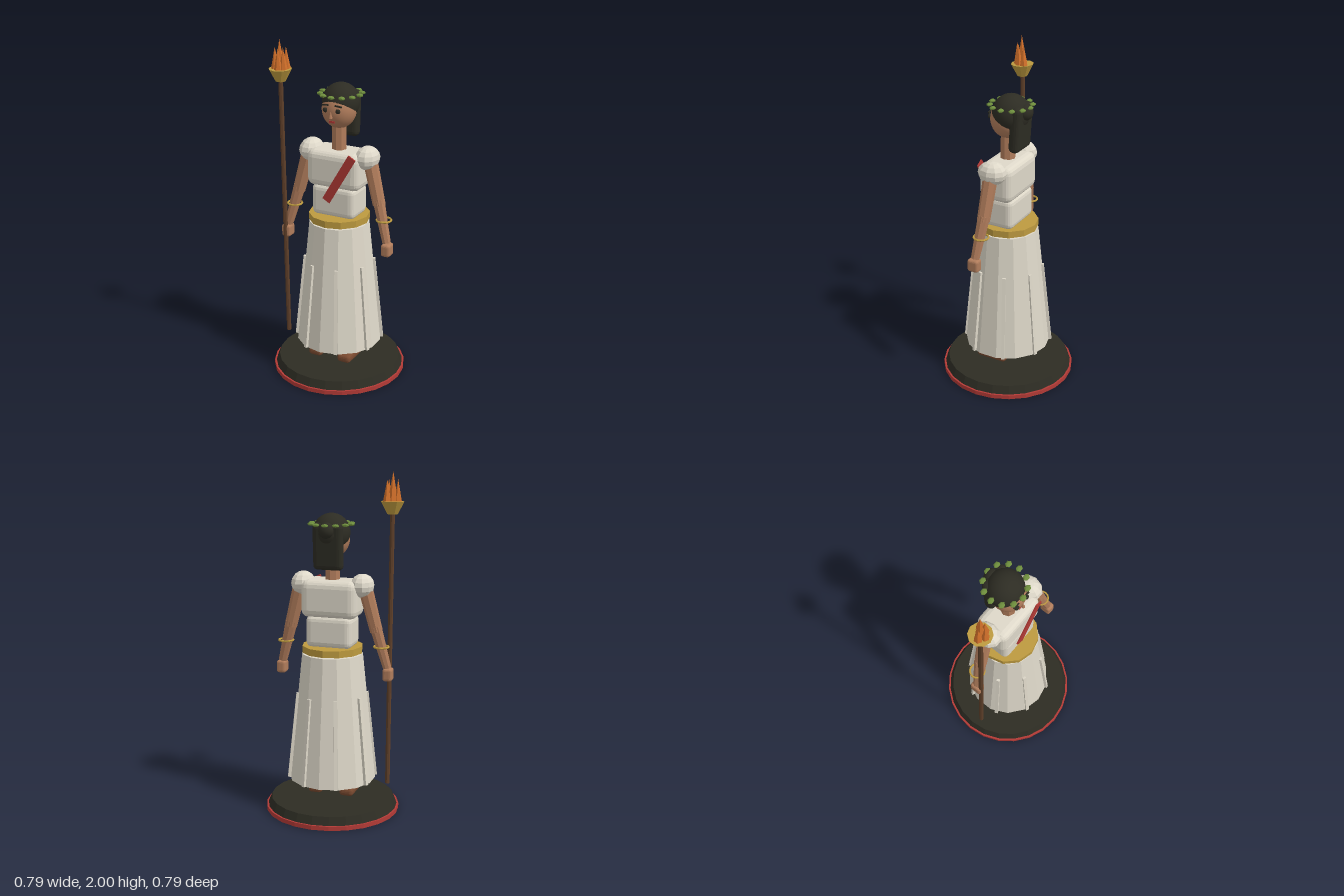
import * as THREE from 'three';
import { RoundedBoxGeometry } from 'three/addons/geometries/RoundedBoxGeometry.js';

const colours = {
  cloth: 0xded8c9, skin: 0xb07c5b, dark: 0x2d2c23, red: 0xb23a36, gold: 0xbd9a3f,
  leaf: 0x6d8c3c, wood: 0x5e3f29, sandal: 0x7a4a30, flame: 0xd2702a,
};

export function createModel() {
  const model = new THREE.Group();
  model.name = 'torchBearer';
  const mats = {};
  for (const [name, color] of Object.entries(colours)) {
    mats[name] = new THREE.MeshStandardMaterial({ color });
    mats[name].name = name;
  }

  // Gives each face its own normal for the faceted look
  const flat = (geo) => {
    const g = geo.index ? geo.toNonIndexed() : geo;
    g.computeVertexNormals();
    return g;
  };
  const add = (name, geo, mat, x, y, z, parent = model) => {
    const mesh = new THREE.Mesh(geo, mats[mat]);
    mesh.name = name;
    mesh.position.set(x, y, z);
    parent.add(mesh);
    return mesh;
  };
  const cyl = (top, bottom, h, n) => flat(new THREE.CylinderGeometry(top, bottom, h, n));
  const block = (w, h, d, r) => flat(new RoundedBoxGeometry(w, h, d, 2, r));
  const ball = (rx, ry, rz, w, h) => new THREE.SphereGeometry(1, w, h).scale(rx, ry, rz);
  // Tapered limb between two points
  const limb = (name, a, b, ra, rb, mat) => {
    const from = new THREE.Vector3(...a), to = new THREE.Vector3(...b);
    const dir = to.clone().sub(from);
    const mid = from.clone().add(to).multiplyScalar(0.5);
    const mesh = add(name, cyl(rb, ra, dir.length(), 8), mat, mid.x, mid.y, mid.z);
    mesh.quaternion.setFromUnitVectors(new THREE.Vector3(0, 1, 0), dir.normalize());
    return mesh;
  };

  // Plinth
  add('plinthRim', cyl(0.396, 0.396, 0.025, 24), 'red', 0, 0.0125, 0);
  add('plinthTop', cyl(0.365, 0.385, 0.047, 24), 'dark', 0, 0.0485, 0);

  // Skirt with eight raised folds, and belt
  add('skirt', cyl(0.178, 0.255, 0.76, 14), 'cloth', 0, 0.57, 0);
  for (let i = 0; i < 8; i++) {
    const fold = new THREE.Group();
    fold.name = 'skirtFold';
    fold.rotation.y = (i + 0.5) * Math.PI / 4;
    const strip = add('foldStrip', new THREE.BoxGeometry(0.02, 0.52, 0.02), 'cloth', 0, 0.45, 0.23, fold);
    strip.rotation.x = -0.105;
    model.add(fold);
  }
  add('belt', cyl(0.178, 0.178, 0.04, 12), 'gold', 0, 0.977, 0);

  // Torso, sash and neck
  add('waist', block(0.275, 0.19, 0.19, 0.035), 'cloth', 0, 1.085, 0);
  add('chest', block(0.336, 0.22, 0.206, 0.045), 'cloth', 0, 1.275, 0);
  add('sash', new THREE.BoxGeometry(0.05, 0.325, 0.009), 'red', 0.053, 1.237, 0.108).rotation.z = -0.53;
  add('neck', cyl(0.042, 0.044, 0.2, 8), 'skin', 0, 1.46, 0);

  // Arms, mirrored, and feet
  for (const s of [-1, 1]) {
    add('shoulder', flat(ball(0.07, 0.068, 0.086, 10, 8)), 'cloth', s * 0.179, 1.355, 0);
    limb('upperArm', [s * 0.195, 1.35, 0], [s * 0.262, 1.09, 0.012], 0.042, 0.037, 'skin');
    limb('forearm', [s * 0.256, 1.12, 0.01], [s * 0.322, 0.875, 0.033], 0.037, 0.026, 'skin');
    add('hand', block(0.056, 0.075, 0.07, 0.015), 'skin', s * 0.327, 0.835, 0.036);
    const bracelet = add('bracelet', flat(new THREE.TorusGeometry(0.043, 0.006, 6, 14)), 'gold', s * 0.292, 1.002, 0.01);
    bracelet.rotation.x = Math.PI / 2;
    add('foot', block(0.086, 0.05, 0.192, 0.02), 'sandal', s * 0.097, 0.11, 0.046);
  }

  // Head and face
  add('head', ball(0.1, 0.112, 0.1, 24, 18), 'skin', 0, 1.62, 0);
  for (const s of [-1, 1]) {
    add('eye', ball(0.015, 0.014, 0.01, 10, 8), 'dark', s * 0.04, 1.63, 0.094);
    add('eyebrow', new THREE.BoxGeometry(0.042, 0.008, 0.009), 'dark', s * 0.041, 1.658, 0.09).rotation.z = -s * 0.1;
  }
  add('nose', new THREE.ConeGeometry(0.011, 0.04, 6), 'skin', 0, 1.608, 0.104);
  add('mouth', new THREE.BoxGeometry(0.034, 0.012, 0.009), 'red', 0, 1.563, 0.087);

  // Hair
  add('hairCap', ball(0.108, 0.11, 0.108, 28, 20), 'dark', 0, 1.656, -0.02);
  add('hairBun', ball(0.047, 0.047, 0.045, 14, 10), 'dark', 0, 1.675, -0.11);
  add('longHair', block(0.176, 0.27, 0.066, 0.028), 'dark', 0, 1.582, -0.08).rotation.x = -0.06;

  // Leaf wreath
  for (let i = 0; i < 12; i++) {
    const a = i * Math.PI / 6;
    add('wreathLeaf', flat(ball(0.022, 0.01, 0.018, 6, 5)), 'leaf',
      Math.sin(a) * 0.117, 1.705, Math.cos(a) * 0.12 - 0.02);
  }

  // Torch: tilted pole, bowl and flames
  const torch = new THREE.Group();
  torch.name = 'torch';
  torch.position.set(-0.328, 0.165, 0.046);
  torch.rotation.x = 0.026;
  model.add(torch);
  add('pole', cyl(0.014, 0.014, 1.62, 8), 'wood', 0, 0.81, 0, torch);
  add('bowl', cyl(0.067, 0.03, 0.072, 10), 'gold', 0, 1.63, 0, torch);
  add('mainFlame', flat(new THREE.ConeGeometry(0.03, 0.17, 6)), 'flame', 0, 1.75, 0, torch);
  for (const [x, z] of [[-0.027, 0.008], [0.027, -0.024], [0.026, 0.008], [0.004, 0.028]]) {
    add('sideFlame', flat(new THREE.ConeGeometry(0.025, 0.13, 6)), 'flame', x, 1.725, z, torch);
  }
  return model;
}
